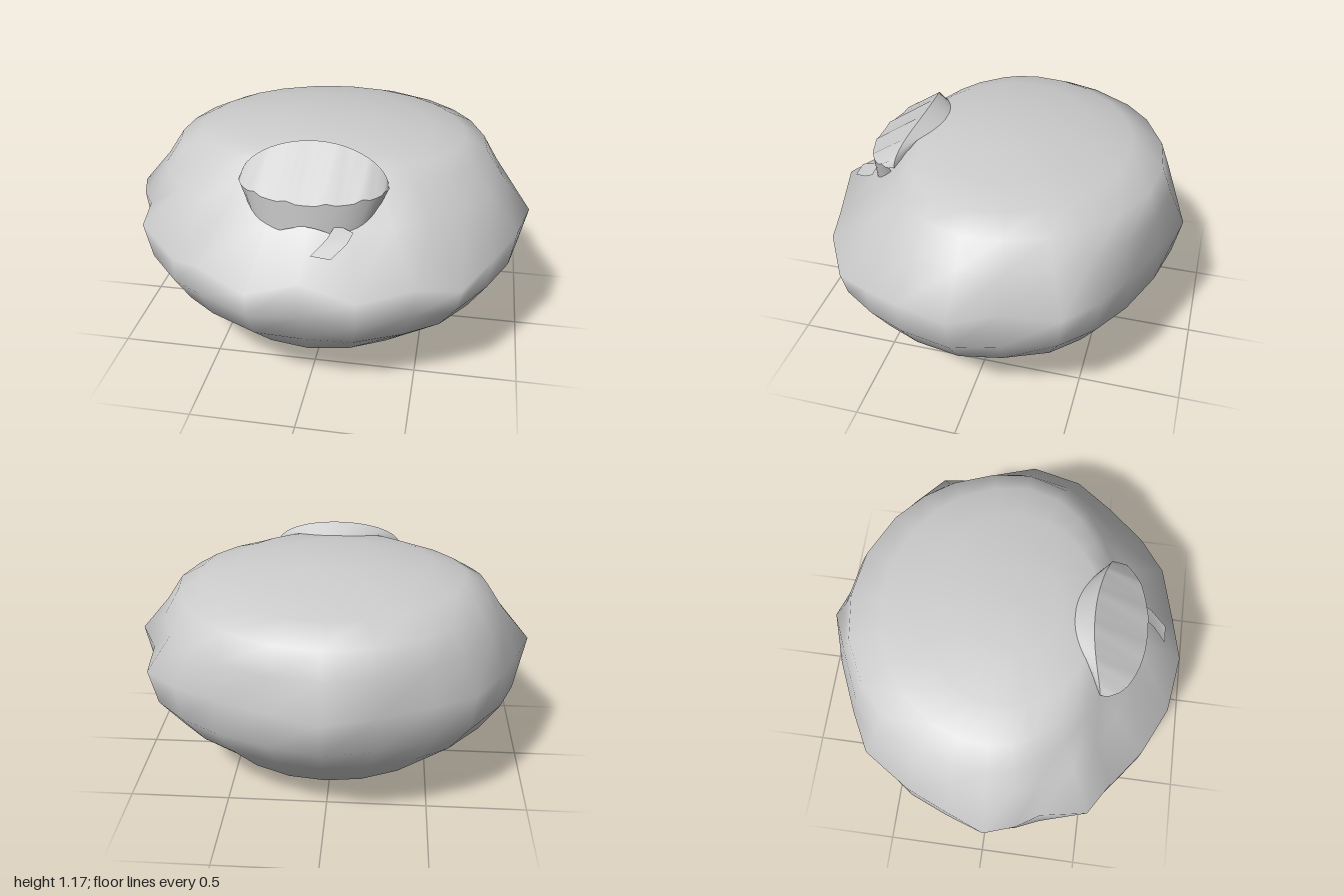
import * as THREE from 'three';

const grey = new THREE.MeshStandardMaterial({ color: 0xcccccc });
grey.name = 'grey';
const greySheet = new THREE.MeshStandardMaterial({ color: 0xcccccc, side: THREE.DoubleSide });
greySheet.name = 'greySheet';

function makeGeometry(positions, index) {
  const g = new THREE.BufferGeometry();
  g.setAttribute('position', new THREE.Float32BufferAttribute(positions, 3));
  g.setIndex(index);
  g.computeVertexNormals();
  return g;
}

function addMesh(group, name, geometry, material) {
  const mesh = new THREE.Mesh(geometry, material);
  mesh.name = name;
  group.add(mesh);
}

// Irregular widest outline (x, z, optional dip), clockwise from the back seen from above
const OUTLINE = [
  [0, -0.89], [0.25, -0.8], [0.5, -0.7], [0.7, -0.6], [0.86, -0.46], [0.89, -0.2],
  [1, 0.02], [0.94, 0.27], [0.83, 0.46, 0.05], [0.7, 0.65, 0.11], [0.5, 0.77, 0.05], [0.25, 0.85, 0.1],
  [0, 0.885], [-0.25, 0.86, 0.1], [-0.5, 0.74, 0.05], [-0.66, 0.61, 0.11], [-0.84, 0.5], [-0.88, 0.28],
  [-0.95, 0.17], [-1, 0.02], [-0.92, -0.18], [-0.84, -0.37], [-0.69, -0.6], [-0.5, -0.7],
  [-0.25, -0.81],
];

// Body rings: height, half width, front depth, back depth, pull towards outline
const RINGS = [
  [0.01, 0.27, 0.27, 0.09, 0],
  [0.08, 0.46, 0.5, 0.36, 0],
  [0.2, 0.62, 0.67, 0.59, 0],
  [0.36, 0.82, 0.8, 0.69, 0.15],
  [0.52, 0.93, 0.87, 0.82, 0.45],
  [0.7, 1, 0.89, 0.89, 1],
  [0.87, 0.84, 0.62, 0.8, 0.1],
  [1.0, 0.77, 0.53, 0.76, 0],
  [1.06, 0.66, 0.48, 0.6, 0],
  [1.1, 0.49, 0.44, 0.4, 0],
  [1.13, 0.25, 0.27, 0.2, 0],
];

function bodyGeometry() {
  const n = OUTLINE.length, pos = [], index = [];
  for (const [y, w, front, back, pull] of RINGS) {
    for (const [px, pz, dip = 0] of OUTLINE) {
      const a = Math.atan2(pz, px), c = Math.cos(a), s = Math.sin(a);
      const r = 1 / Math.hypot(c / w, s / (s > 0 ? front : back));
      pos.push(
        THREE.MathUtils.lerp(c * r, px, pull),
        y - dip * pull,
        THREE.MathUtils.lerp(s * r, pz, pull),
      );
    }
  }
  const last = (RINGS.length - 1) * n, bottom = last + n, top = bottom + 1;
  pos.push(0, 0, 0.05, 0, 1.14, 0.03);
  for (let j = 0; j < n; j++) {
    const k = (j + 1) % n;
    for (let i = 0; i < last; i += n) {
      index.push(i + j, i + n + j, i + k, i + k, i + n + j, i + n + k);
    }
    index.push(bottom, j, k, last + j, top, last + k);
  }
  return makeGeometry(pos, index);
}

// Open sheet through rows of points
function sheet(rows) {
  const n = rows[0].length, index = [];
  for (let i = 0; i < rows.length - 1; i++) {
    for (let j = 0; j < n - 1; j++) {
      const a = i * n + j;
      index.push(a, a + n, a + 1, a + 1, a + n, a + n + 1);
    }
  }
  return makeGeometry(rows.flat(2), index);
}

// Row from a rule of the across-position u (-1..1) and its arch height c
function row(rule) {
  return Array.from({ length: 25 }, (_, i) => {
    const t = (i / 24 - 0.5) * Math.PI;
    return rule(Math.sin(t), Math.cos(t), i);
  });
}

export function createModel() {
  const model = new THREE.Group();
  model.name = 'roundedBody';
  addMesh(model, 'body', bodyGeometry(), grey);

  // Raised visor at the front
  const base = row((u) => [0.22 * u, 1.12 - 0.02 * u * u, 0.32 + 0.08 * u * u]);
  const crest = row((u, c) => [0.34 * u, 1.0 + 0.167 * c, 0.41 + 0.07 * u * u]);
  const rim = row((u, c, i) => [0.345 * u, 0.975 + 0.025 * u * u + (i % 4 === 2 ? 0.012 : 0), 0.5 + 0.18 * c]);
  const hem = row((u, c) => [0.3 * u, 0.845 + 0.025 * Math.cos(u * 5) + 0.05 * u ** 6, 0.5 + 0.18 * c]);
  const visor = new THREE.Group();
  visor.name = 'visor';
  addMesh(visor, 'visorBack', sheet([base, crest]), greySheet);
  addMesh(visor, 'visorPlate', sheet([crest, rim]), greySheet);
  addMesh(visor, 'visorBand', sheet([rim, hem]), greySheet);
  model.add(visor);

  // Small curled flap below the visor
  addMesh(model, 'flap', sheet([
    [[0.13, 0.88, 0.65], [0.21, 0.85, 0.66]],
    [[0.1, 0.84, 0.72], [0.19, 0.82, 0.71]],
    [[0.04, 0.79, 0.79], [0.13, 0.78, 0.79]],
  ]), greySheet);

  return model;
}
